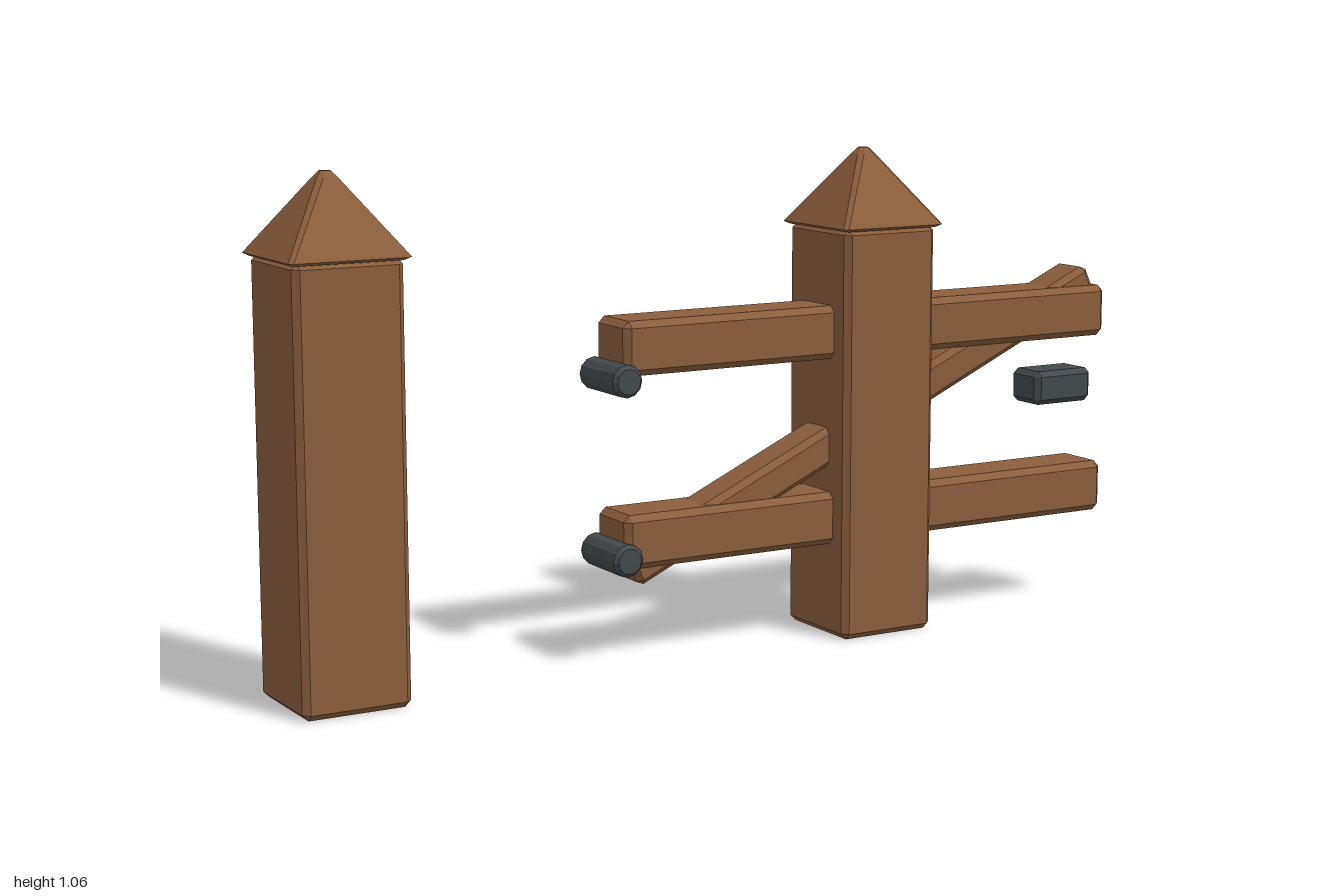
import * as THREE from 'three';
import { ConvexGeometry } from 'three/addons/geometries/ConvexGeometry.js';

const wood = new THREE.MeshStandardMaterial({ color: 0x8b5e3c, flatShading: true });
const iron = new THREE.MeshStandardMaterial({ color: 0x43494c, flatShading: true });

// Box with every edge chamfered by b
function chamferBox(w, h, d, b) {
  const half = [w / 2, h / 2, d / 2];
  const points = [];
  for (const sx of [-1, 1]) for (const sy of [-1, 1]) for (const sz of [-1, 1]) {
    for (let axis = 0; axis < 3; axis++) {
      const p = half.map((v, i) => (i === axis ? v : v - b));
      points.push(new THREE.Vector3(sx * p[0], sy * p[1], sz * p[2]));
    }
  }
  return new ConvexGeometry(points);
}

// Pyramid cap from square rings with cut corners: [y, half width, corner cut]
function capGeometry() {
  const rings = [
    [0, 0.117, 0.008],
    [0.006, 0.127, 0.008],
    [0.156, 0.022, 0.010],
    [0.169, 0.010, 0.005],
  ];
  const points = [];
  for (const [y, w, c] of rings) {
    for (const sx of [-1, 1]) for (const sz of [-1, 1]) {
      points.push(new THREE.Vector3(sx * w, y, sz * (w - c)));
      points.push(new THREE.Vector3(sx * (w - c), y, sz * w));
    }
  }
  return new ConvexGeometry(points);
}

function createModel() {
  const model = new THREE.Group();
  model.name = 'fenceGate';

  function add(name, geometry, material, x, y, z = 0, parent = model) {
    const mesh = new THREE.Mesh(geometry, material);
    mesh.name = name;
    mesh.position.set(x, y, z);
    parent.add(mesh);
    return mesh;
  }

  // Two capped posts
  const postShape = chamferBox(0.23, 0.893, 0.23, 0.013);
  const capShape = capGeometry();
  for (const [name, x] of [['rightPost', -0.873], ['leftPost', 0.374]]) {
    const post = new THREE.Group();
    post.name = name;
    post.position.x = x;
    add('postShaft', postShape, wood, 0, 0.4465, 0, post);
    add('postCap', capShape, wood, 0, 0.888, 0, post);
    model.add(post);
  }

  // Horizontal gate rails
  const railShape = chamferBox(1.246, 0.115, 0.133, 0.014);
  add('lowerRail', railShape, wood, 0.374, 0.262);
  add('upperRail', railShape, wood, 0.374, 0.668);

  // Diagonal brace running through both rails
  const brace = add('diagonalBrace', chamferBox(1.31, 0.08, 0.1, 0.013), wood, 0.374, 0.467);
  brace.rotation.z = THREE.MathUtils.degToRad(24.3);

  // Hinge barrels with chamfered ends, lying front to back
  const profile = [[0, -0.08], [0.027, -0.08], [0.035, -0.071], [0.035, 0.071], [0.027, 0.08], [0, 0.08]];
  const hingeShape = new THREE.LatheGeometry(profile.map(([r, y]) => new THREE.Vector2(r, y)), 12);
  hingeShape.rotateX(Math.PI / 2);
  add('lowerHinge', hingeShape, iron, -0.249, 0.228);
  add('upperHinge', hingeShape, iron, -0.249, 0.604);

  // Latch block
  add('latch', chamferBox(0.156, 0.076, 0.1, 0.012), iron, 0.897, 0.497);

  return model;
}

export { createModel };
